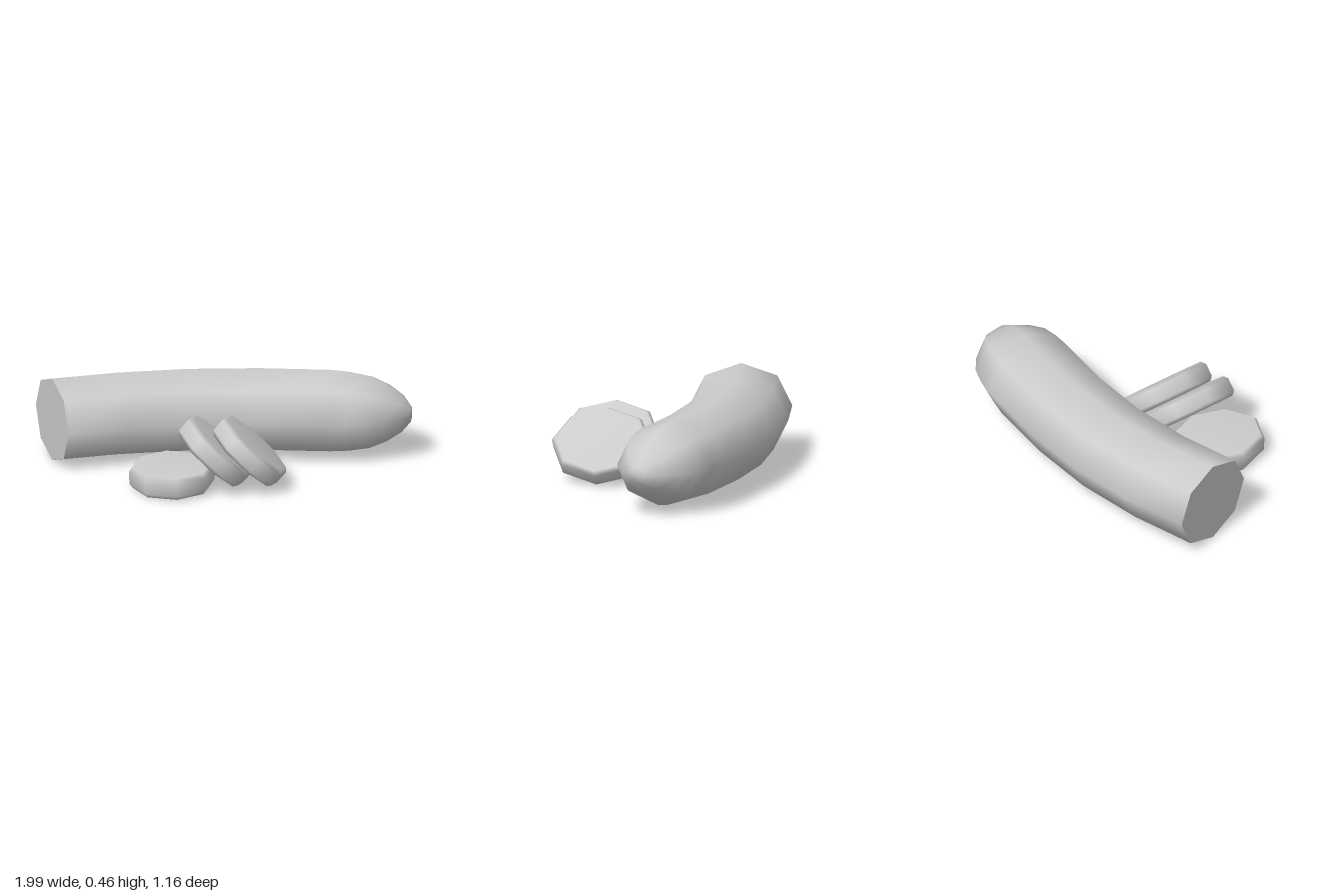
import * as THREE from 'three';

const SIDES = 8;
const CENTER_Y = 0.24;
const FLATTEN = 0.836; // height of a cross-section relative to its width

const material = new THREE.MeshStandardMaterial({ color: 0xcccccc });

// Curved body: octagonal rings [x, z, radius, heading] from the cut end to the rounded tip
const RINGS = [
  [-0.94, -0.213, 0.275, -0.22],
  [-0.577, -0.28, 0.275, -0.11],
  [-0.2, -0.305, 0.275, 0],
  [0.18, -0.278, 0.275, 0.11],
  [0.56, -0.21, 0.275, 0.2],
  [0.66, -0.188, 0.266, 0.21],
  [0.765, -0.163, 0.243, 0.22],
  [0.857, -0.142, 0.193, 0.22],
  [0.935, -0.122, 0.127, 0.22],
  [0.984, -0.102, 0.05, 0.22],
];

function bodyGeometry() {
  const positions = [];
  const indices = [];
  const addRing = ([x, z, r, heading]) => {
    const first = positions.length / 3;
    for (let j = 0; j < SIDES; j++) {
      const a = (j / SIDES) * Math.PI * 2;
      const side = r * Math.cos(a);
      positions.push(
        x - Math.sin(heading) * side,
        CENTER_Y + r * FLATTEN * Math.sin(a),
        z + Math.cos(heading) * side
      );
    }
    return first;
  };
  const addCap = ([x, z], first, flip) => {
    const c = positions.length / 3;
    positions.push(x, CENTER_Y, z);
    for (let j = 0; j < SIDES; j++) {
      const p = first + j;
      const q = first + ((j + 1) % SIDES);
      indices.push(c, flip ? q : p, flip ? p : q);
    }
  };

  // Skin between neighbouring rings
  const starts = RINGS.map(addRing);
  for (let i = 0; i < starts.length - 1; i++) {
    for (let j = 0; j < SIDES; j++) {
      const k = (j + 1) % SIDES;
      const a = starts[i] + j, b = starts[i + 1] + j;
      const c = starts[i + 1] + k, d = starts[i] + k;
      indices.push(a, b, c, a, c, d);
    }
  }
  // Sharp cut end on its own ring, smooth tip sharing the last ring
  addCap(RINGS[0], addRing(RINGS[0]), false);
  addCap(RINGS[RINGS.length - 1], starts[starts.length - 1], true);

  const geometry = new THREE.BufferGeometry();
  geometry.setAttribute('position', new THREE.Float32BufferAttribute(positions, 3));
  geometry.setIndex(indices);
  geometry.computeVertexNormals();
  return geometry;
}

// Octagonal slice with softened rims, lying flat
function sliceGeometry() {
  const r = 0.275, h = 0.058, bevel = 0.022;
  const profile = [
    [0, -h], [r - bevel, -h], [r, -h + bevel],
    [r, h - bevel], [r - bevel, h], [0, h],
  ].map(([x, y]) => new THREE.Vector2(x, y));
  return new THREE.LatheGeometry(profile, SIDES).scale(FLATTEN, 1, 1);
}

export function createModel() {
  const model = new THREE.Group();
  model.name = 'slicedVegetable';

  const body = new THREE.Mesh(bodyGeometry(), material);
  body.name = 'body';
  model.add(body);

  // One slice lying down, two leaning on it: [name, x, y, tilt]
  const slices = [
    ['flatSlice', -0.35, 0.073, 0.03],
    ['middleSlice', -0.115, 0.2, -0.73],
    ['frontSlice', 0.07, 0.195, -0.73],
  ];
  const geometry = sliceGeometry();
  for (const [name, x, y, tilt] of slices) {
    const slice = new THREE.Mesh(geometry, material);
    slice.name = name;
    slice.position.set(x, y, 0.31);
    slice.rotation.z = tilt;
    model.add(slice);
  }
  return model;
}
